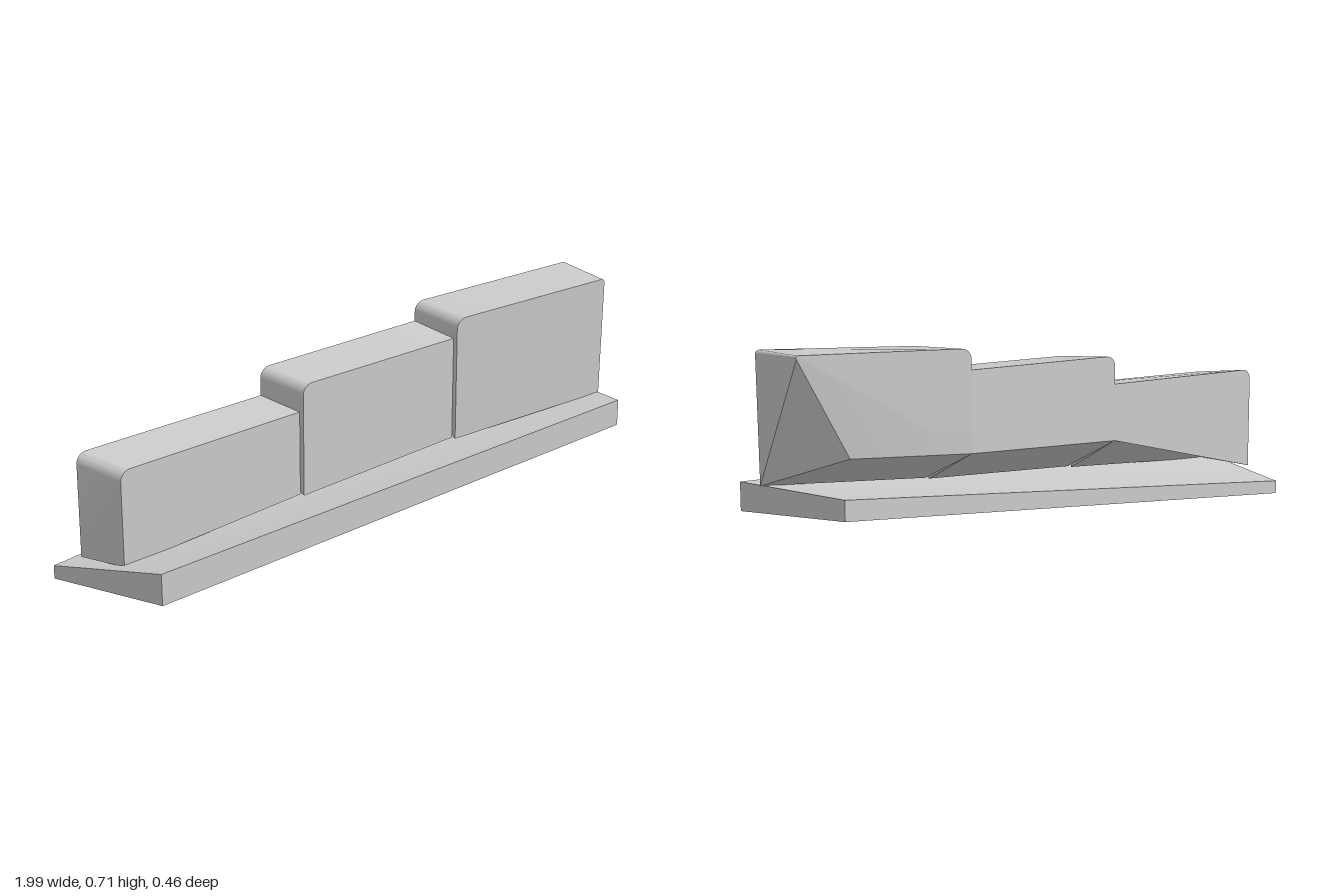
import * as THREE from 'three';
import { toCreasedNormals } from 'three/addons/utils/BufferGeometryUtils.js';

const V = (x, y, z) => new THREE.Vector3(x, y, z);
const ARC_STEPS = 6;

// Outline of a quad [bottomLeft, bottomRight, topRight, topLeft] with rounded top corners
function outline(quad, rightRadius, leftRadius) {
  const [bl, br, tr, tl] = quad.map((p) => V(...p));
  const round = (corner, from, to, r) => {
    if (!r) return [corner];
    const a = corner.clone().add(from.clone().sub(corner).setLength(r));
    const b = corner.clone().add(to.clone().sub(corner).setLength(r));
    const centre = a.clone().add(b).sub(corner);
    const pts = [];
    for (let i = 0; i <= ARC_STEPS; i++) {
      const t = (i / ARC_STEPS) * Math.PI / 2;
      pts.push(centre.clone()
        .addScaledVector(a.clone().sub(centre), Math.cos(t))
        .addScaledVector(b.clone().sub(centre), Math.sin(t)));
    }
    return pts;
  };
  return [bl, br, ...round(tr, br, tl, rightRadius), ...round(tl, tr, bl, leftRadius)];
}

// Solid lofted between a front and a back outline
function block(name, front, back, rightRadius = 0, leftRadius = 0) {
  const f = outline(front, rightRadius, leftRadius);
  const b = outline(back, rightRadius, leftRadius);
  const n = f.length;
  const tris = [];
  for (let i = 0; i < n; i++) {
    const j = (i + 1) % n;
    tris.push(f[i], b[i], b[j], f[i], b[j], f[j]);
  }
  for (let i = 1; i < n - 1; i++) {
    tris.push(f[0], f[i], f[i + 1], b[0], b[i + 1], b[i]);
  }
  const geometry = new THREE.BufferGeometry().setFromPoints(tris);
  geometry.computeVertexNormals();
  const mesh = new THREE.Mesh(
    toCreasedNormals(geometry, 0.35),
    new THREE.MeshStandardMaterial({ color: 0xcccccc })
  );
  mesh.name = name;
  return mesh;
}

export function createModel() {
  const group = new THREE.Group();
  group.name = 'steppedBlocksOnSlab';

  // Sloping, slightly twisted base slab
  group.add(block('baseSlab',
    [[-0.89, 0.055, 0.232], [0.985, 0.193, 0.232], [0.985, 0.285, 0.232], [-0.89, 0.16, 0.232]],
    [[-1, 0, -0.232], [0.95, 0.238, -0.232], [0.95, 0.303, -0.232], [-1, 0.045, -0.232]]));

  // Three stepped blocks, their undersides lifting off the slab at the back
  group.add(block('lowBlock',
    [[-0.893, 0.105, 0.022], [-0.225, 0.175, 0.024], [-0.225, 0.46, 0.024], [-0.893, 0.422, 0.022]],
    [[-0.95, 0.095, -0.142], [-0.265, 0.285, -0.14], [-0.265, 0.476, -0.14], [-0.95, 0.442, -0.142]],
    0, 0.035));
  group.add(block('middleBlock',
    [[-0.225, 0.175, 0.04], [0.39, 0.23, 0.046], [0.39, 0.585, 0.046], [-0.225, 0.555, 0.04]],
    [[-0.265, 0.285, -0.14], [0.37, 0.337, -0.138], [0.37, 0.601, -0.138], [-0.265, 0.57, -0.14]],
    0, 0.035));
  group.add(block('highBlock',
    [[0.39, 0.23, 0.062], [0.98, 0.287, 0.136], [0.986, 0.702, 0.136], [0.39, 0.655, 0.062]],
    [[0.37, 0.337, -0.138], [0.8, 0.375, -0.072], [1, 0.711, -0.074], [0.37, 0.668, -0.138]],
    0.014, 0.035));

  return group;
}
